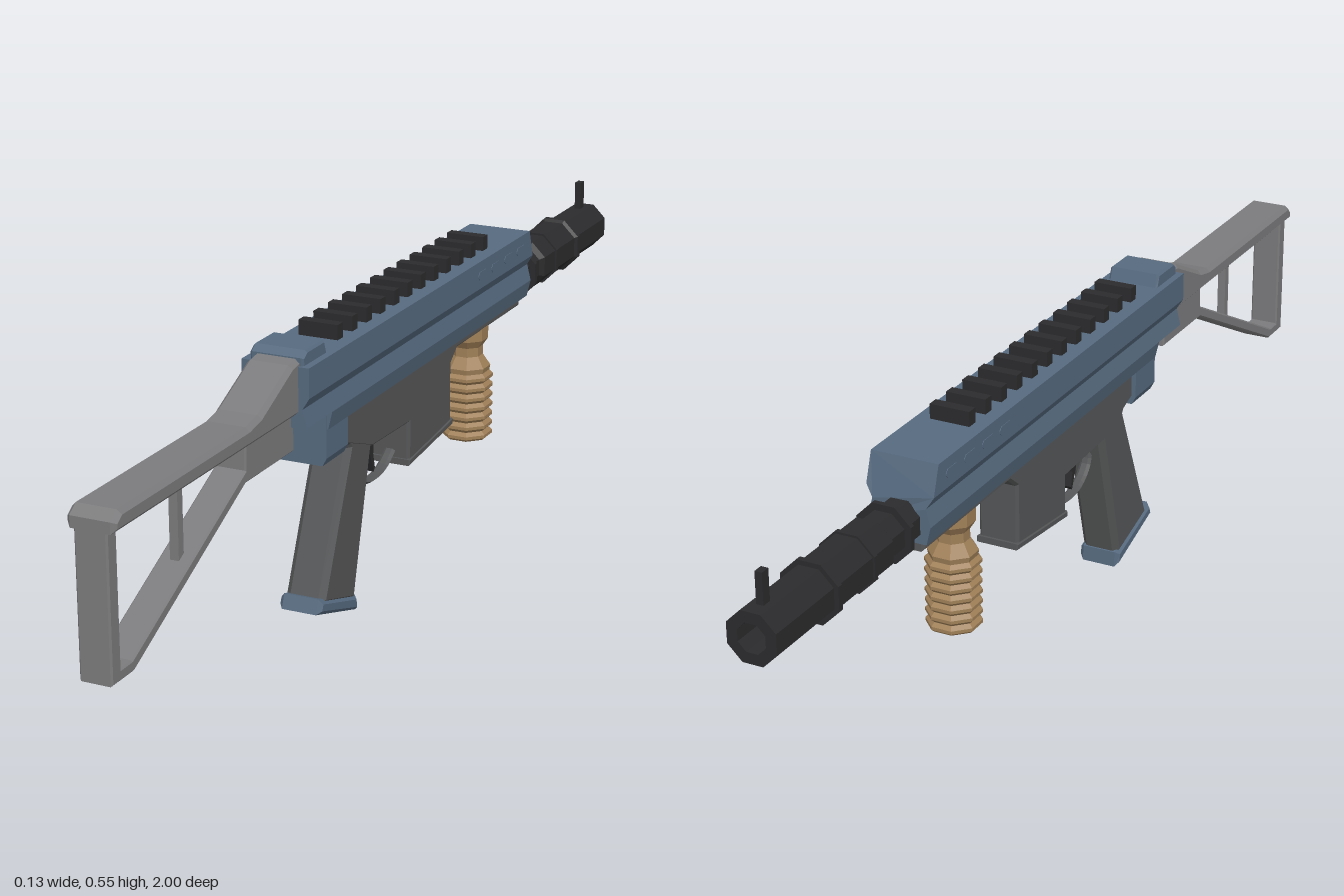
import * as THREE from 'three';

const mat = (color) => new THREE.MeshStandardMaterial({ color, flatShading: true, side: THREE.DoubleSide });
const BLUE = mat(0x566a7f), GREY = mat(0x555657), STOCK = mat(0x7b7b7d), DARK = mat(0x2b2b2d), TAN = mat(0xa08058);

const shapeOf = (pts) => new THREE.Shape(pts.map(([a, b]) => new THREE.Vector2(a, b)));

export function createModel() {
  const model = new THREE.Group();
  const add = (name, geo, material, x = 0, y = 0, z = 0) => {
    const m = new THREE.Mesh(geo, material);
    m.name = name;
    m.position.set(x, y, z);
    model.add(m);
    return m;
  };
  // side profile of [z, y] points, extruded across x with chamfered edges
  const side = (name, pts, half, bevel, material, hole) => {
    const s = shapeOf(pts);
    if (hole) s.holes.push(new THREE.Path(hole.map(([a, b]) => new THREE.Vector2(a, b))));
    const g = new THREE.ExtrudeGeometry(s, {
      depth: 2 * (half - bevel), bevelEnabled: bevel > 0, bevelSize: bevel,
      bevelThickness: bevel, bevelOffset: -bevel, bevelSegments: 1,
    });
    g.translate(0, 0, bevel - half);
    g.rotateY(-Math.PI / 2);
    return add(name, g, material);
  };
  // mirrored cross-section of [x, y] points, extruded along z with a raked front
  const section = (name, right, z0, z1, rake, material) => {
    const left = right.map(([x, y]) => [-x, y]).reverse();
    const g = new THREE.ExtrudeGeometry(shapeOf([...right, ...left]), { depth: z1 - z0, bevelEnabled: false });
    g.translate(0, 0, z0);
    const p = g.attributes.position;
    for (let i = 0; i < p.count; i++) {
      if (p.getZ(i) < z0 + 0.001) p.setZ(i, z0 + rake * Math.max(0, (p.getY(i) - 0.46) / 0.066));
    }
    g.computeVertexNormals();
    return add(name, g, material);
  };

  // receiver
  section('upperReceiver', [[0.051, 0.418], [0.058, 0.42], [0.05, 0.452], [0.063, 0.473], [0.063, 0.526]], -0.56, 0.41, 0.022, BLUE);
  section('lowerRail', [[0.05, 0.387], [0.058, 0.42]], -0.56, 0.315, 0, BLUE);
  side('rearSightBlock', [[0.315, 0.52], [0.405, 0.52], [0.405, 0.54], [0.39, 0.55], [0.325, 0.55]], 0.05, 0.004, BLUE);
  section('rearCollar', [[0.04, 0.32], [0.048, 0.335], [0.048, 0.42]], 0.235, 0.318, 0, BLUE);
  side('lowerReceiver', [
    [0.30, 0.395], [0.30, 0.345], [0.23, 0.33], [0.12, 0.29], [-0.035, 0.285], [-0.035, 0.21],
    [-0.222, 0.23], [-0.222, 0.345], [-0.25, 0.367], [-0.55, 0.367], [-0.55, 0.395],
  ], 0.039, 0.005, GREY);
  side('magazinePlate', [[-0.032, 0.215], [-0.032, 0.203], [-0.228, 0.223], [-0.228, 0.235]], 0.041, 0.002, GREY);

  // vents on both sides near the front
  const vent = shapeOf([[-0.021, -0.002], [-0.015, -0.008], [0.015, -0.008], [0.021, -0.002],
    [0.021, 0.002], [0.015, 0.008], [-0.015, 0.008], [-0.021, 0.002]]);
  for (const s of [-1, 1]) {
    for (let i = 0; i < 4; i++) {
      const v = add('vent', new THREE.ExtrudeGeometry(vent, { depth: 0.001, bevelEnabled: false }), BLUE, s * 0.063, 0.498, -0.31 - i * 0.0615);
      v.rotation.y = s * Math.PI / 2;
    }
  }

  // top rail teeth
  for (let i = 0; i < 12; i++) {
    add('railTooth', new THREE.BoxGeometry(0.075, 0.034, 0.021), DARK, 0, 0.536, -0.378 + i * 0.0563);
  }

  // pistol grip and its cap
  side('grip', [[0.235, 0.36], [0.21, 0.315], [0.318, 0.06], [0.187, 0.02], [0.115, 0.295], [0.10, 0.36]], 0.038, 0.011, GREY);
  side('gripCap', [[0.325, 0.075], [0.335, 0.049], [0.18, 0], [0.182, 0.03]], 0.041, 0.008, BLUE);

  // trigger and guard
  const guard = new THREE.CatmullRomCurve3([[0.13, 0.285], [0.12, 0.235], [0.085, 0.207], [0.04, 0.2], [0, 0.207], [-0.035, 0.228]]
    .map(([z, y]) => new THREE.Vector3(0, y, z)));
  const guardMesh = add('triggerGuard', new THREE.TubeGeometry(guard, 18, 0.005, 6), GREY);
  guardMesh.scale.x = 2.2;
  side('trigger', [[0.08, 0.295], [0.064, 0.25], [0.05, 0.215], [0.045, 0.222], [0.052, 0.25], [0.048, 0.295]], 0.008, 0, DARK);

  // barrel: stepped octagonal lathe with an open bore, [radius, distance along barrel]
  const barrel = [[0.042, 0.5], [0.042, 0.6], [0.055, 0.6], [0.055, 0.61], [0.042, 0.61], [0.042, 0.65], [0.051, 0.66],
    [0.051, 0.715], [0.055, 0.715], [0.055, 0.724], [0.051, 0.724], [0.051, 0.82], [0.057, 0.825], [0.057, 0.836],
    [0.048, 0.836], [0.048, 1.0], [0.027, 1.0], [0.027, 0.9], [0, 0.9]];
  const bg = new THREE.LatheGeometry(barrel.map(([r, d]) => new THREE.Vector2(r, d)), 8, Math.PI / 8);
  bg.rotateX(-Math.PI / 2);
  add('barrel', bg, DARK, 0, 0.42, 0);
  add('frontSight', new THREE.BoxGeometry(0.013, 0.07, 0.018), DARK, 0, 0.485, -0.964);

  // ribbed fore grip
  const ribs = [[0, 0.145], [0.044, 0.145]];
  for (let i = 0; i < 7; i++) {
    const y = 0.147 + i * 0.0195;
    ribs.push([0.05, y + 0.003], [0.05, y + 0.009], [0.043, y + 0.016]);
  }
  ribs.push([0.045, 0.29], [0.03, 0.312], [0.03, 0.33], [0.04, 0.345], [0.04, 0.372], [0, 0.372]);
  add('foreGrip', new THREE.LatheGeometry(ribs.map(([r, y]) => new THREE.Vector2(r, y)), 8, Math.PI / 8), TAN, 0, 0, -0.385);

  // shoulder stock: wide top bar, narrower open frame and a post
  side('stockTopBar', [[0.39, 0.54], [0.43, 0.534], [0.54, 0.482], [0.58, 0.474], [0.98, 0.474], [1.0, 0.46], [1.0, 0.44], [0.39, 0.44]], 0.043, 0.008, STOCK);
  side('stockFrame', [[0.40, 0.45], [0.40, 0.373], [0.57, 0.373], [0.935, 0.192], [1.0, 0.192], [1.0, 0.45]], 0.029, 0.003, STOCK,
    [[0.57, 0.441], [0.972, 0.441], [0.972, 0.212], [0.94, 0.212], [0.57, 0.395]]);
  add('stockPost', new THREE.BoxGeometry(0.016, 0.15, 0.016), STOCK, 0, 0.372, 0.748);

  return model;
}
